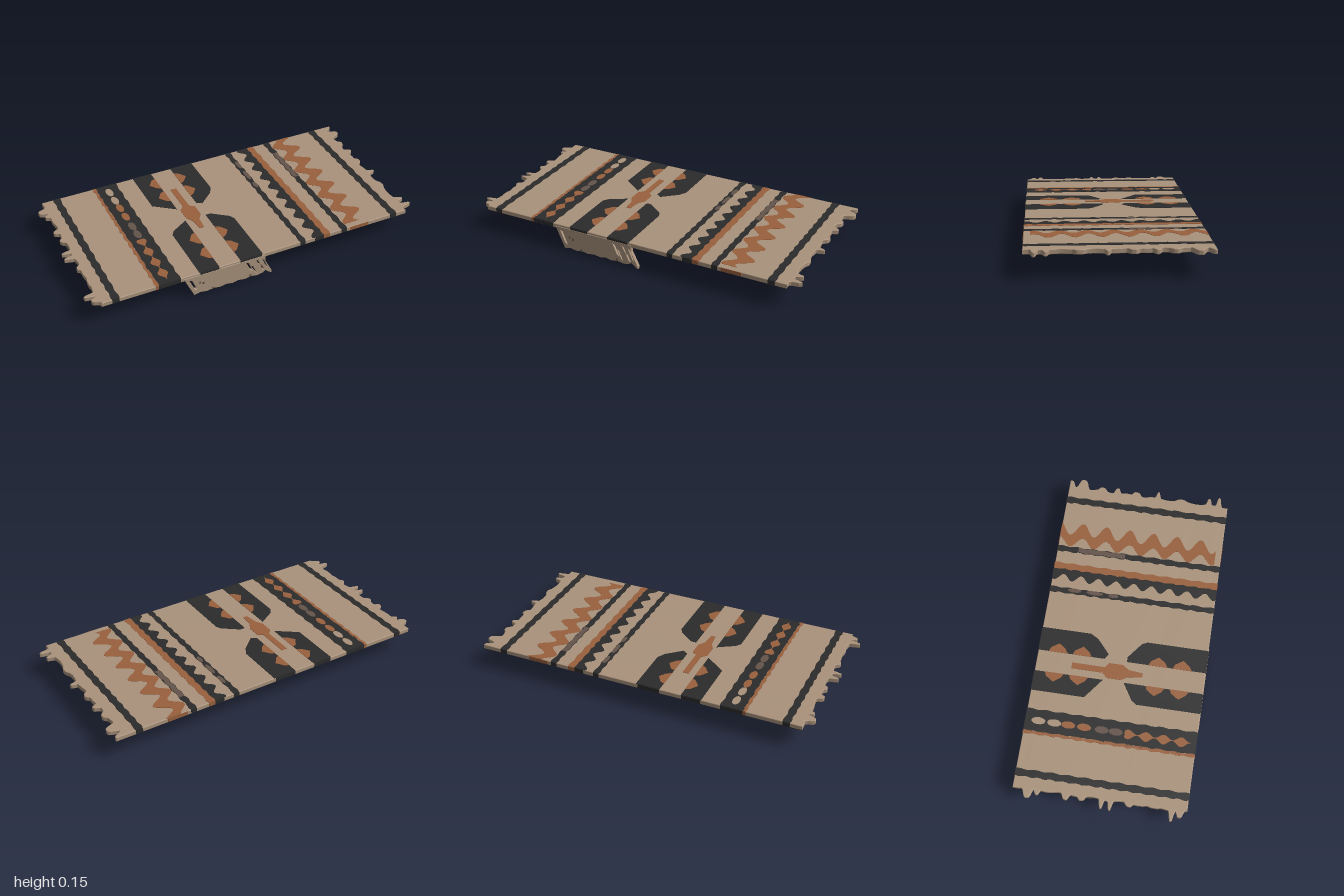
import * as THREE from 'three';

const mat = (name, color) => Object.assign(new THREE.MeshStandardMaterial({ color }), { name });

export function createModel() {
  const rug = new THREE.Group();
  rug.name = 'wovenRug';
  const tan = mat('tanWool', 0xa9927b);
  const black = mat('charcoalWool', 0x2b2b2b);
  const rust = mat('rustWool', 0x98603d);
  const brown = mat('fadedBrownWool', 0x63534a);

  const TOP = 0.154, BOTTOM = 0.127, HALF = 0.485;

  const add = (name, geo, material, parent = rug) => {
    const m = new THREE.Mesh(geo, material);
    m.name = name;
    parent.add(m);
    return m;
  };
  // Points are [x, z] pairs; the extrusion runs upward from y0.
  const slab = (pts, y0, depth, bevel = 0) => {
    const shape = new THREE.Shape(pts.map(([x, z]) => new THREE.Vector2(x, -z)));
    const g = new THREE.ExtrudeGeometry(shape, {
      depth: depth - 2 * bevel, bevelEnabled: bevel > 0, bevelThickness: bevel,
      bevelSize: bevel, bevelOffset: -bevel, bevelSegments: 3,
    });
    g.rotateX(-Math.PI / 2);
    g.translate(0, y0 + bevel, 0);
    return g;
  };

  // Main cloth with ragged short ends: [z, length, width] of each tuft
  const leftTufts = [[-0.4, 0.055, 0.025], [-0.35, 0.03, 0.015], [-0.19, 0.035, 0.02], [-0.1, 0.02, 0.02],
    [0.01, 0.05, 0.012], [0.06, 0.05, 0.012], [0.16, 0.02, 0.02], [0.3, 0.01, 0.03], [0.4, 0.06, 0.014], [0.445, 0.04, 0.02]];
  const rightTufts = [[-0.48, 0.04, 0.025], [-0.4, 0.062, 0.03], [-0.28, 0.02, 0.025], [-0.19, 0.035, 0.018],
    [-0.07, 0.025, 0.025], [0.06, 0.04, 0.012], [0.2, 0.01, 0.03], [0.37, 0.04, 0.014], [0.43, 0.06, 0.014]];
  const reach = (z, tufts) => 0.938 + 0.005 * Math.sin(z * 37) +
    Math.max(...tufts.map(([c, l, w]) => l * Math.exp(-(((z - c) / w) ** 4))));
  const outline = [], steps = 150;
  for (let i = 0; i <= steps; i++) {
    const z = HALF - (2 * HALF * i) / steps;
    outline.push([reach(z, rightTufts), z]);
  }
  for (let i = 0; i <= steps; i++) {
    const z = -HALF + (2 * HALF * i) / steps;
    outline.push([-reach(z, leftTufts), z]);
  }
  add('cloth', slab(outline, BOTTOM, TOP - BOTTOM, 0.004), tan);

  // Thin woven patches on either face; a higher level lies over a lower one
  const topSide = new THREE.Group(), underSide = new THREE.Group();
  topSide.name = 'topPattern';
  underSide.name = 'undersidePattern';
  rug.add(topSide, underSide);
  const patch = (name, pts, material, level = 1) =>
    add(name, slab(pts, TOP - 0.002, 0.002 + 0.0013 * level), material, topSide);
  const under = (name, pts, material, level = 1) =>
    add(name, slab(pts, BOTTOM - 0.0013 * level, 0.002 + 0.0013 * level), material, underSide);

  // Band between two edge curves x = left(z) and x = right(z)
  const band = (left, right, z0 = -0.484, z1 = 0.484, n = 120) => {
    const a = [], b = [];
    for (let i = 0; i <= n; i++) {
      const z = z0 + ((z1 - z0) * i) / n;
      a.push([left(z), z]);
      b.unshift([right(z), z]);
    }
    return [...a, ...b];
  };
  const edge = (x, amp = 0.003, period = 0.071, phase = 0) => z =>
    x + amp * Math.cos((2 * Math.PI * (z - phase)) / period);
  const oval = (x, z, rx, rz, n = 14) => Array.from({ length: n }, (_, i) => {
    const t = (2 * Math.PI * i) / n;
    return [x + rx * Math.cos(t), z + rz * Math.sin(t)];
  });

  // Full-width stripes, wrapped down both long edges
  const stripes = [[-0.875, -0.835, black], [-0.63, -0.612, rust], [-0.614, -0.485, black], [0.24, 0.273, black],
    [0.39, 0.43, rust], [0.505, 0.54, black], [0.828, 0.868, black]];
  for (const [x0, x1, m] of stripes) patch('stripe', band(edge(x0), edge(x1, 0.003, 0.093)), m);
  const wraps = [...stripes, [-0.37, -0.26, black], [-0.13, 0, black], [0.335, 0.39, black], [0.56, 0.68, rust]];
  for (const [x0, x1, m] of wraps) for (const s of [-1, 1]) {
    const g = new THREE.BoxGeometry(x1 - x0, 0.022, 0.005);
    g.translate((x0 + x1) / 2, (TOP + BOTTOM) / 2 + 0.001, s * (HALF - 0.0005));
    add('stripeEdge', g, m, topSide);
  }

  // Left border: beaded chain inside the dark stripe
  patch('chain', band(edge(-0.568, 0.014, 0.1, 0.05), edge(-0.538, 0.012, 0.1), 0.08, 0.455), rust, 2);
  for (const [z, m] of [[-0.41, tan], [-0.32, tan], [-0.24, rust], [-0.15, rust], [-0.05, brown], [0.03, brown]])
    patch('bead', oval(-0.55, z, 0.021, 0.04), m, 2);

  // Central motif: four dark blocks with pointed insets
  const blocks = [
    [[-0.375, -0.484], [-0.257, -0.484], [-0.257, -0.09], [-0.375, -0.18]],
    [[-0.375, 0.12], [-0.355, 0.09], [-0.257, 0.03], [-0.257, 0.484], [-0.375, 0.484]],
    [[-0.13, -0.484], [0.01, -0.484], [0.01, -0.2], [-0.015, -0.155], [-0.1, -0.08], [-0.13, -0.1]],
    [[-0.13, 0.03], [-0.1, 0.03], [-0.01, 0.1], [0.005, 0.13], [0.005, 0.484], [-0.13, 0.484]],
  ];
  for (const b of blocks) patch('darkBlock', b, black);
  for (const z of [-0.37, -0.23, 0.21, 0.35]) for (const [x, s] of [[-0.256, -1], [-0.131, 1]])
    patch('pointedInset', [[x, z - 0.055], [x + s * 0.025, z - 0.045], [x + s * 0.055, z],
      [x + s * 0.025, z + 0.04], [x, z + 0.055]], rust, 2);
  patch('centreSpindle', [[-0.215, -0.28], [-0.18, -0.28], [-0.18, -0.09], [-0.152, -0.07], [-0.152, 0.01],
    [-0.178, 0.05], [-0.185, 0.13], [-0.21, 0.13], [-0.22, 0.05], [-0.243, 0.01], [-0.243, -0.07], [-0.215, -0.1]], rust, 2);

  // Right border: scalloped dark edge, worn patches and rust zigzag
  patch('scallop', band(edge(0.338, 0.02, 0.105), edge(0.392)), black);
  patch('zigzag', band(edge(0.572, 0.03, 0.142, 0.08), edge(0.658, 0.04, 0.142, 0.07), -0.484, 0.45), rust);
  patch('wornStripe', band(edge(0.508), edge(0.538), -0.36, -0.08), brown, 2);
  for (const [z, r] of [[-0.34, 0.04], [-0.22, 0.05], [-0.11, 0.03]])
    patch('wornSpot', oval(0.262, z, 0.013, r), brown, 2);

  // Underside: end bands, two large lozenges and scattered blotches
  for (const s of [-1, 1]) under('endBand', band(edge(s * 0.89 - 0.045, 0.006, 0.13), edge(s * 0.89 + 0.042)), black);
  const lozenge = (x, z, a, b) => [[-1, -0.25], [-0.6, -0.6], [-0.4, -1], [0.4, -1], [0.6, -0.6], [1, -0.25],
    [1, 0.25], [0.6, 0.6], [0.4, 1], [-0.4, 1], [-0.6, 0.6], [-1, 0.25]].map(([u, v]) => [x + u * a, z + v * b]);
  for (const z of [-0.29, 0.29]) {
    under('lozenge', lozenge(-0.19, z, 0.19, 0.18), black, 1);
    under('lozengeField', oval(-0.19, z, 0.12, 0.115, 8), tan, 2);
    under('lozengeHeart', lozenge(-0.19, z, 0.1, 0.095), rust, 3);
    under('lozengeEye', oval(-0.19, z, 0.025, 0.025, 8), tan, 4);
  }
  under('mottledBand', band(edge(-0.72, 0.02, 0.16), edge(-0.62, 0.025, 0.19), -0.46, 0.42), brown);
  for (const z of [-0.38, -0.22, -0.05, 0.14, 0.32]) under('mottledSpot', oval(-0.66, z, 0.035, 0.05), rust, 2);
  for (const [x, z] of [[0.64, -0.3], [0.33, -0.35], [0.67, 0.34], [0.31, 0.37]])
    under('blotch', lozenge(x, z, 0.06, 0.08), rust);

  // Hanging fringe on the front edge, slanting to the left as it falls
  const flap = new THREE.Shape();
  const hem = [[-0.468, 0.142], [-0.45, 0.1], [-0.41, 0.012], [-0.395, 0.016]];
  for (let i = 0; i <= 10; i++) hem.push([-0.37 + i * 0.038, i % 2 ? 0.013 : 0.02]);
  hem.push([0.022, 0.032], [0.045, 0.012], [0.062, 0.002], [0.064, 0.016], [0.042, 0.06], [0.022, 0.1], [0.022, 0.142]);
  flap.setFromPoints(hem.map(p => new THREE.Vector2(...p)));
  // Slits: x and y at the top, then height and width
  for (const [x, y, h, w] of [[-0.436, 0.122, 0.08, 0.015], [-0.095, 0.125, 0.07, 0.014], [-0.065, 0.095, 0.06, 0.01],
    [-0.035, 0.125, 0.05, 0.01], [-0.015, 0.09, 0.055, 0.012], [0.004, 0.115, 0.07, 0.009]]) {
    const d = h * 0.38;
    flap.holes.push(new THREE.Path([[x, y], [x + w, y - 0.006], [x + w + d, y - h], [x + d, y - h + 0.01]]
      .map(p => new THREE.Vector2(...p))));
  }
  const fringe = new THREE.ExtrudeGeometry(flap, { depth: 0.015, bevelThickness: 0.004, bevelSize: 0.002, bevelOffset: -0.002, bevelSegments: 2 });
  fringe.translate(0, 0, 0.469);
  add('hangingFringe', fringe, tan);
  for (const [x, y] of [[-0.375, 0.09], [-0.355, 0.08], [-0.3, 0.025], [-0.07, 0.03]]) {
    const g = new THREE.BoxGeometry(0.01, 0.014, 0.003);
    g.translate(x, y, 0.488);
    add('fringeFleck', g, brown);
  }
  return rug;
}
